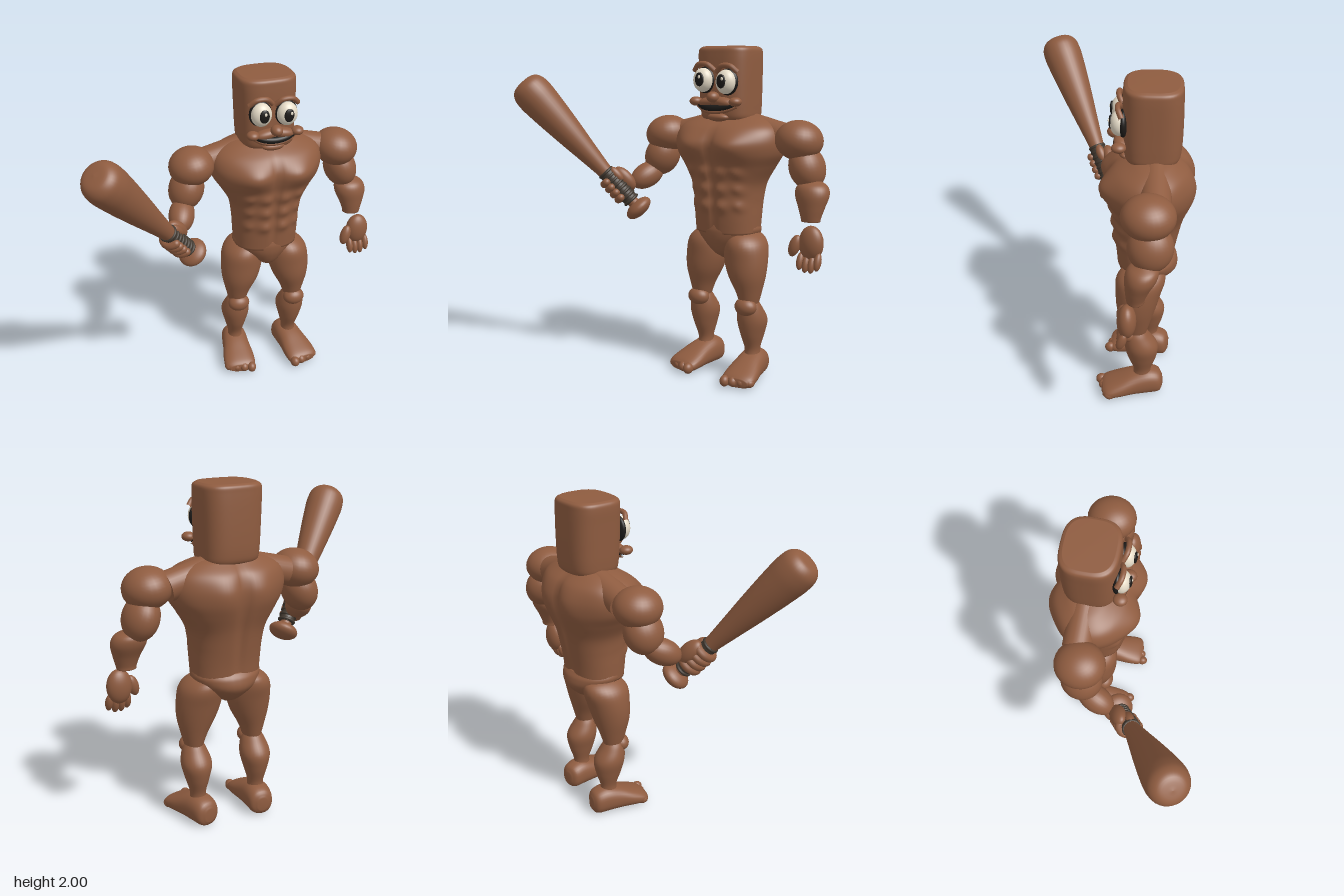
import * as THREE from 'three';

const paint = (name, color) => {
  const m = new THREE.MeshStandardMaterial({ color });
  m.name = name;
  return m;
};
const UP = new THREE.Vector3(0, 1, 0);
const bump = (a) => Math.exp(-a * a);

// Smooth closed skin through rows of [y, centreX, centreZ, halfX, halfZ]
function loft(rows, { sides = 32, steps = 28, power = 2, warp } = {}) {
  const mid = new THREE.CatmullRomCurve3(rows.map((r) => new THREE.Vector3(r[0], r[1], r[2])), false, 'catmullrom');
  const half = new THREE.CatmullRomCurve3(rows.map((r) => new THREE.Vector3(r[3], r[4], 0)), false, 'catmullrom');
  const pos = [], index = [];
  const round = (v) => Math.sign(v) * Math.abs(v) ** (2 / power);
  for (let i = -1; i <= steps + 1; i++) {
    const t = Math.min(1, Math.max(0, i / steps));
    const c = mid.getPoint(t), h = half.getPoint(t);
    const k = i < 0 || i > steps ? 0.001 : 1;
    for (let j = 0; j < sides; j++) {
      const a = (j / sides) * Math.PI * 2;
      const v = new THREE.Vector3(
        c.y + round(Math.cos(a)) * Math.max(0.001, h.x) * k, c.x,
        c.z + round(Math.sin(a)) * Math.max(0.001, h.y) * k);
      if (warp) warp(v);
      pos.push(v.x, v.y, v.z);
      if (i <= steps) {
        const row = (i + 1) * sides, n = row + ((j + 1) % sides), p = row + j;
        index.push(p, p + sides, n, n, p + sides, n + sides);
      }
    }
  }
  const g = new THREE.BufferGeometry();
  g.setAttribute('position', new THREE.Float32BufferAttribute(pos, 3));
  g.setIndex(index);
  g.computeVertexNormals();
  return g;
}

export function createModel() {
  const model = new THREE.Group();
  const skin = paint('brown skin', 0x8f5c40);
  const dark = paint('dark grip', 0x41382f);
  const black = paint('black', 0x1c1a18);
  const white = paint('eye white', 0xe6dcc8);
  const CX = 0.265; // body midline

  const add = (name, geometry, material = skin, parent = model) => {
    const m = new THREE.Mesh(geometry, material);
    m.name = name;
    parent.add(m);
    return m;
  };
  // Ellipsoid whose own y axis points along dir
  const blob = (name, p, r, material = skin, dir = null, parent = model) => {
    const m = add(name, new THREE.SphereGeometry(1, 28, 20), material, parent);
    m.position.set(...p);
    m.scale.set(...r);
    if (dir) m.quaternion.setFromUnitVectors(UP, new THREE.Vector3(...dir).normalize());
    return m;
  };
  const tube = (name, pts, r, material = skin) => add(name, new THREE.TubeGeometry(
    new THREE.CatmullRomCurve3(pts.map((p) => new THREE.Vector3(...p))), 24, r, 10), material);

  // Torso with chest, abdominal and back muscles
  const muscles = (v) => {
    const u = Math.abs(v.x - CX), f = Math.min(1, Math.max(0, (v.z + 0.2) / 0.12));
    const b = Math.min(1, Math.max(0, (-0.22 - v.z) / 0.12));
    let front = 0.06 * bump((u - 0.14) / 0.12) * bump((v.y - 1.43) / 0.085);
    front -= 0.02 * bump(u / 0.018) * bump((v.y - 1.22) / 0.28);
    for (const y of [1.27, 1.17, 1.07]) {
      front += 0.02 * bump((u - 0.06) / 0.042) * bump((v.y - y) / 0.036);
      front += 0.016 * bump((u - 0.16) / 0.035) * bump((v.y - y - 0.25 * (0.16 - u)) / 0.03);
    }
    const back = 0.03 * bump((u - 0.11) / 0.1) * bump((v.y - 1.42) / 0.13) - 0.025 * bump(u / 0.028) * bump((v.y - 1.25) / 0.3);
    v.z += f * front - b * back;
  };
  add('torso', loft([
    [0.90, CX, -0.20, 0.2, 0.16], [1.0, CX, -0.20, 0.205, 0.172], [1.1, CX, -0.205, 0.21, 0.185],
    [1.2, CX, -0.21, 0.228, 0.2], [1.3, CX, -0.215, 0.285, 0.218], [1.38, CX, -0.215, 0.335, 0.228],
    [1.46, CX, -0.215, 0.348, 0.225], [1.53, CX, -0.22, 0.32, 0.195], [1.58, CX, -0.23, 0.24, 0.13],
    [1.61, CX, -0.24, 0.12, 0.08]], { sides: 96, steps: 80, power: 2.3, warp: muscles }));
  add('hips', loft([
    [0.74, CX, -0.19, 0.02, 0.05], [0.78, CX, -0.2, 0.08, 0.12], [0.85, CX, -0.215, 0.165, 0.17],
    [0.91, CX, -0.21, 0.205, 0.175], [0.95, CX, -0.2, 0.2, 0.16]]));

  // Head
  add('head', loft([
    [1.562, 0.262, -0.225, 0.13, 0.12], [1.585, 0.262, -0.225, 0.16, 0.148], [1.64, 0.26, -0.225, 0.167, 0.158],
    [1.75, 0.258, -0.224, 0.171, 0.162], [1.87, 0.256, -0.223, 0.175, 0.162], [1.95, 0.254, -0.222, 0.177, 0.16],
    [1.985, 0.254, -0.222, 0.172, 0.156], [2.0, 0.254, -0.222, 0.15, 0.135]], { sides: 48, steps: 40, power: 3 }));

  // Face
  for (const [x, y, s] of [[0.178, 1.805, -1], [0.336, 1.795, 1]]) {
    blob('eyeRim', [x, y, -0.066], [0.069, 0.077, 0.028], black);
    blob('eye', [x, y, -0.045], [0.062, 0.07, 0.05], white);
    blob('pupil', [x - s * 0.004, y + 0.004, 0], [0.03, 0.04, 0.011], black);
    blob('glint', [x + 0.008, y + 0.018, 0.01], [0.008, 0.01, 0.004], white);
    tube('eyebrow', [[x - 0.07, y + 0.055, -0.06], [x - 0.03, y + 0.09, -0.04], [x + 0.03, y + 0.09, -0.04],
      [x + 0.07, y + 0.055, -0.06]], 0.015);
    blob('cheek', [CX + s * 0.137, 1.682, -0.045], [0.038, 0.027, 0.04]);
    blob('upperLip', [CX + s * 0.05, 1.678, -0.055], [0.075, 0.03, 0.04], skin, [s * 0.15, 1, 0]);
  }
  blob('nose', [CX, 1.708, -0.02], [0.036, 0.032, 0.042]);
  const smile = (dy, z) => [[0.135, 1.672 + dy, z - 0.025], [0.19, 1.647 + dy, z], [0.265, 1.638 + dy, z + 0.01],
    [0.34, 1.647 + dy, z], [0.398, 1.672 + dy, z - 0.025]];
  tube('mouth', smile(0.005, -0.04), 0.02, black);
  tube('lowerLip', smile(-0.016, -0.04), 0.012);
  blob('chin', [CX, 1.59, -0.075], [0.07, 0.025, 0.035]);

  // Legs and shoulders, mirrored; the right leg stands a little further back
  for (const s of [-1, 1]) {
    const side = s > 0 ? 'left' : 'right';
    const dz = s > 0 ? 0 : -0.04;
    const leg = (rows) => rows.map(([y, dx, z, hx, hz]) => [y, CX + s * dx, z + dz, hx, hz]);
    add(side + 'Thigh', loft(leg([
      [0.46, 0.185, -0.155, 0.05, 0.06], [0.55, 0.18, -0.155, 0.078, 0.085], [0.65, 0.165, -0.155, 0.115, 0.115],
      [0.75, 0.152, -0.165, 0.132, 0.132], [0.84, 0.145, -0.178, 0.122, 0.142], [0.895, 0.13, -0.19, 0.085, 0.11],
      [0.92, 0.125, -0.19, 0.02, 0.03]])));
    blob(side + 'Knee', [CX + s * 0.185, 0.463, -0.112 + dz], [0.07, 0.055, 0.057]);
    add(side + 'Calf', loft(leg([
      [0.13, 0.185, -0.2, 0.05, 0.058], [0.19, 0.185, -0.2, 0.047, 0.054], [0.28, 0.186, -0.196, 0.07, 0.085],
      [0.37, 0.186, -0.19, 0.09, 0.1], [0.45, 0.186, -0.165, 0.072, 0.075], [0.5, 0.186, -0.155, 0.045, 0.05]])));

    const foot = new THREE.Group();
    foot.name = side + 'Foot';
    foot.position.set(CX + s * 0.185, 0, -0.2 + dz);
    foot.rotation.y = s * 0.14;
    model.add(foot);
    // rows run heel to toe: [z, x, -height centre, half width, half height]
    const sole = loft([
      [-0.125, 0, -0.075, 0.03, 0.04], [-0.1, 0, -0.08, 0.07, 0.075], [-0.03, 0, -0.088, 0.083, 0.086],
      [0.06, 0, -0.078, 0.09, 0.076], [0.15, 0, -0.06, 0.102, 0.058], [0.22, 0, -0.045, 0.1, 0.042],
      [0.25, 0, -0.04, 0.07, 0.025]], { power: 2.3 });
    sole.rotateX(Math.PI / 2);
    add(side + 'FootBody', sole, skin, foot);
    for (let i = 0; i < 4; i++) {
      blob('toe', [s * (-0.072 + i * 0.049), 0.04, 0.245 - i * 0.012], [0.029, 0.034 - i * 0.002, 0.035], skin, null, foot);
    }

    // Trapezius, deltoid and upper arm
    const d = new THREE.Vector3(s * 0.37, -0.09, 0);
    const trap = add(side + 'Trapezius', new THREE.CylinderGeometry(0.085, 0.085, d.length(), 28));
    trap.position.set(CX + d.x / 2, 1.515, -0.245);
    trap.quaternion.setFromUnitVectors(UP, d.clone().normalize());
    blob(side + 'Deltoid', [CX + s * 0.465, 1.468, -0.21], [0.137, 0.115, 0.145], skin, [s * 0.15, 1, 0]);
  }

  // Left arm hanging down
  blob('leftUpperArm', [0.778, 1.315, -0.225], [0.1, 0.13, 0.122], skin, [-0.35, 1, 0]);
  add('leftForearm', loft([
    [1.02, 0.845, -0.155, 0.055, 0.048], [1.045, 0.845, -0.155, 0.06, 0.052], [1.1, 0.843, -0.163, 0.078, 0.066],
    [1.17, 0.837, -0.18, 0.1, 0.086], [1.22, 0.832, -0.192, 0.085, 0.078], [1.25, 0.83, -0.2, 0.03, 0.03]]));
  blob('leftPalm', [0.875, 0.905, -0.11], [0.073, 0.1, 0.052]);
  for (let i = 0; i < 4; i++) {
    const y = 0.79 + [0.012, 0, 0, 0.018][i];
    blob('leftFinger', [0.822 + i * 0.036, y, -0.085], [0.021, 0.052, 0.025], skin, [0, -1, 0.35]);
  }
  blob('leftThumb', [0.785, 0.885, -0.085], [0.033, 0.065, 0.032], skin, [0.3, 1, -0.1]);

  // Right arm bent forward
  blob('rightUpperArm', [-0.238, 1.33, -0.2], [0.105, 0.13, 0.12], skin, [0.4, 1, -0.1]);
  blob('rightForearm', [-0.295, 1.205, -0.11], [0.078, 0.12, 0.078], skin, [-0.3, -0.4, 0.8]);

  // Bat and the hand holding it, built along the bat's own y axis
  const bat = new THREE.Group();
  bat.name = 'bat';
  const base = new THREE.Vector3(-0.268, 1.01, 0.012);
  bat.position.copy(base);
  bat.quaternion.setFromUnitVectors(UP, new THREE.Vector3(-0.858, 1.785, 0.402).sub(base).normalize());
  model.add(bat);
  const profile = new THREE.CatmullRomCurve3([
    [0.035, 0], [0.036, 0.1], [0.044, 0.28], [0.064, 0.45], [0.09, 0.65], [0.112, 0.85], [0.118, 0.95],
    [0.108, 1.01], [0.075, 1.045], [0.001, 1.055]].map(([r, y]) => new THREE.Vector3(r, y, 0)));
  add('batBody', new THREE.LatheGeometry(profile.getPoints(48).map((p) => new THREE.Vector2(Math.max(0, p.x), p.y)), 32), skin, bat);
  blob('batKnob', [0, 0, 0], [0.09, 0.048, 0.09], skin, null, bat);
  const grip = add('batGrip', new THREE.CylinderGeometry(0.05, 0.047, 0.25, 24), dark, bat);
  grip.position.y = 0.185;
  const ring = (name, y, r, t, material, start, arc) => {
    const g = new THREE.TorusGeometry(r, t, 10, 28, arc);
    g.rotateZ(start);
    g.rotateX(Math.PI / 2);
    add(name, g, material, bat).position.y = y;
  };
  for (let i = 0; i < 8; i++) ring('gripWrap', 0.07 + i * 0.033, 0.045, 0.01, dark, 0, Math.PI * 2);
  for (let i = 0; i < 4; i++) {
    const y = 0.125 + i * 0.043, a = Math.PI - 1.6;
    ring('rightFinger', y, 0.058, 0.025, skin, a, 3.2);
    for (const e of [a, a + 3.2]) {
      blob('rightFingertip', [Math.cos(e) * 0.058, y, Math.sin(e) * 0.058], [0.025, 0.024, 0.025], skin, null, bat);
    }
  }
  blob('rightPalm', [0.025, 0.195, -0.06], [0.055, 0.09, 0.045], skin, null, bat);
  blob('rightThumb', [0.045, 0.25, -0.015], [0.026, 0.055, 0.028], skin, null, bat);
  return model;
}
